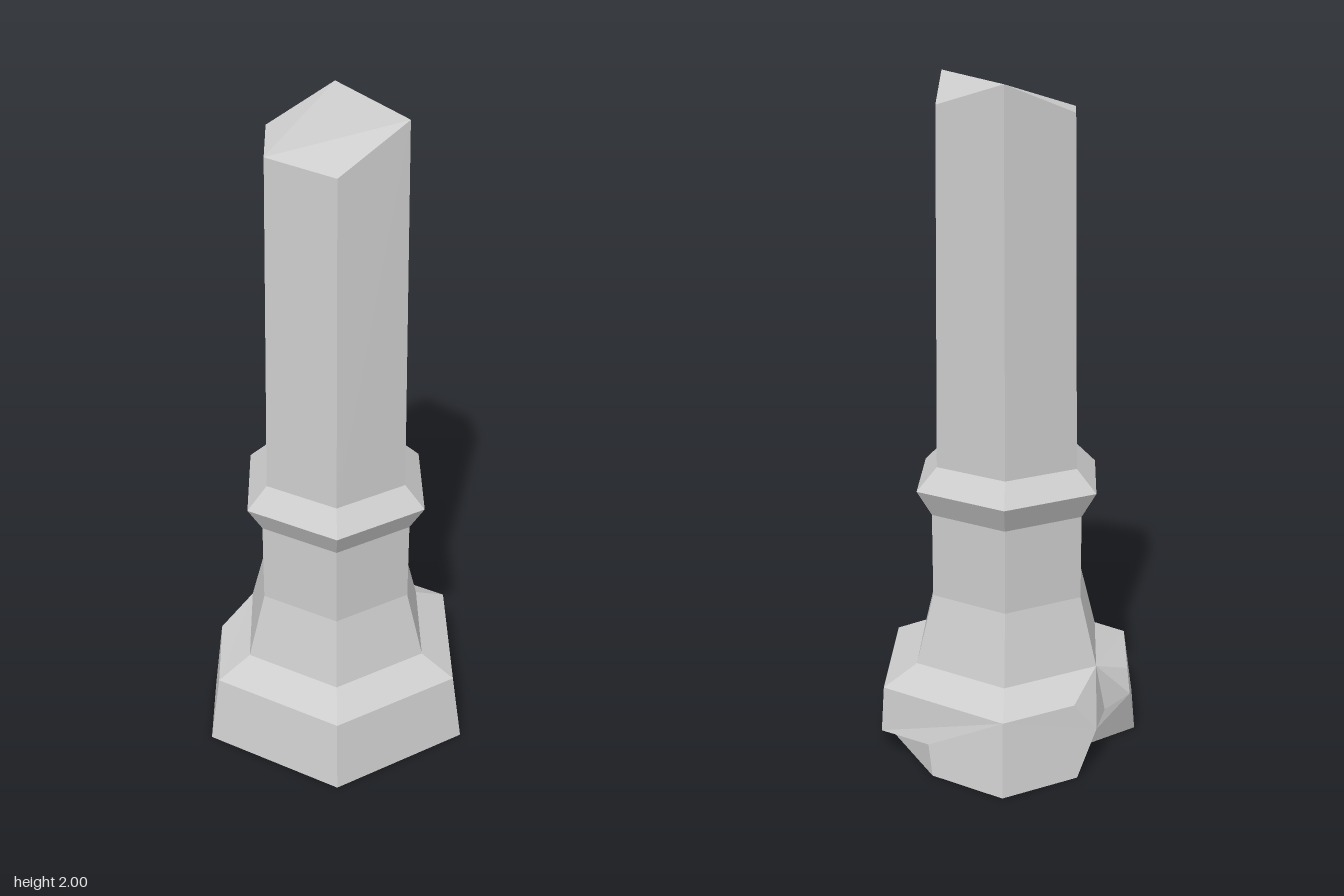
import * as THREE from 'three';

const stone = new THREE.MeshStandardMaterial({ color: 0xcccccc, flatShading: true });
stone.name = 'greyStone';

// Hexagonal ring: 0 right, 1 front right, 2 front left, 3 left, 4 back left, 5 back right
const CX = 0.01;
function hexRing(y, r) {
  return Array.from({ length: 6 }, (_, k) => {
    const a = (k * Math.PI) / 3;
    return [CX + r * Math.cos(a), y, r * Math.sin(a)];
  });
}

// Fan each polygon into triangles that face away from an inner point
function facets(name, faces, innerY) {
  const inner = new THREE.Vector3(CX, innerY, 0);
  const out = [];
  for (const face of faces) {
    const p = face.map((c) => new THREE.Vector3(...c));
    for (let i = 1; i < p.length - 1; i++) {
      const [a, b, c] = [p[0], p[i], p[i + 1]];
      const n = b.clone().sub(a).cross(c.clone().sub(a));
      const mid = a.clone().add(b).add(c).divideScalar(3).sub(inner);
      const tri = n.dot(mid) < 0 ? [a, c, b] : [a, b, c];
      tri.forEach((v) => out.push(v.x, v.y, v.z));
    }
  }
  const g = new THREE.BufferGeometry();
  g.setAttribute('position', new THREE.Float32BufferAttribute(out, 3));
  g.computeVertexNormals();
  const mesh = new THREE.Mesh(g, stone);
  mesh.name = name;
  return mesh;
}

function band(name, lo, hi) {
  const faces = lo.map((p, k) => {
    const j = (k + 1) % 6;
    return [lo[j], p, hi[k], hi[j]];
  });
  return facets(name, faces, (lo[0][1] + hi[0][1]) / 2);
}

export function createModel() {
  const model = new THREE.Group();
  model.name = 'brokenPillar';

  // Rings from the ground to the foot of the shaft
  const foot = hexRing(0, 0.455);
  const shoulder = hexRing(0.22, 0.42);
  const neck = hexRing(0.275, 0.31);
  const waistLow = hexRing(0.485, 0.253);
  const waistHigh = hexRing(0.74, 0.253);
  const collar = hexRing(0.82, 0.301);
  const shaftFoot = hexRing(0.885, 0.235);

  // Chip under the right corner
  const tip = [0.44, 0.08, 0];
  const chipFront = [0.355, 0, 0.185];
  const chipBack = [0.36, 0, -0.185];
  const chipStep = [0.36, 0.09, -0.16];

  // Larger chip at the back left corner
  const apex = neck[4];
  const topBack = [-0.015, 0.22, -0.364], topLeft = [-0.28, 0.22, -0.23];
  const midBack = [-0.085, 0.13, -0.375], midLeft = [-0.26, 0.16, -0.278];
  const hollow = [-0.18, 0.12, -0.265], hollowFoot = [-0.11, 0, -0.24];
  const lowBack = [-0.01, 0, -0.394], lowLeft = [-0.32, 0, -0.215];

  // Chipped base
  model.add(facets('base', [
    [foot[1], foot[2], shoulder[2], shoulder[1]],
    [foot[2], foot[3], shoulder[3], shoulder[2]],
    [shoulder[1], foot[1], chipFront, tip, shoulder[0]],
    [shoulder[5], shoulder[0], tip, chipStep, chipBack, foot[5]],
    [shoulder[5], foot[5], lowBack, midBack, topBack],
    [shoulder[3], foot[3], lowLeft, midLeft, topLeft],
    [foot[1], foot[2], foot[3], lowLeft, hollowFoot, lowBack, foot[5], chipBack, chipFront],
  ], 0.15));
  model.add(facets('rightChip', [[chipFront, tip, chipStep, chipBack]], 0.15));
  model.add(facets('backChip', [
    [apex, topBack, midBack, hollow],
    [apex, hollow, midLeft, topLeft],
    [midBack, lowBack, hollowFoot, hollow],
    [midLeft, hollow, hollowFoot, lowLeft],
  ], 0.12));

  // Sloping top of the base
  const slope = [0, 1, 2, 5].map((k) => {
    const j = (k + 1) % 6;
    return [shoulder[k], shoulder[j], neck[j], neck[k]];
  });
  slope.push([shoulder[3], topLeft, apex, neck[3]], [topBack, shoulder[5], neck[5], apex]);
  model.add(facets('baseSlope', slope, 0.1));

  // Plinth and collar
  model.add(band('flare', neck, waistLow));
  model.add(band('waist', waistLow, waistHigh));
  model.add(band('collarUnderside', waistHigh, collar));
  model.add(band('collarTop', collar, shaftFoot));

  // Shaft with its uneven broken end
  const t = [
    [0.24, 1.925, -0.015], [0.13, 2.0, 0.175], [-0.09, 1.885, 0.175],
    [-0.2, 1.9, -0.015], [-0.09, 1.905, -0.205], [0.13, 1.99, -0.205],
  ];
  model.add(band('shaft', shaftFoot, t));
  model.add(facets('brokenTop', [
    [t[3], t[1], t[5]], [t[3], t[2], t[1]], [t[3], t[5], t[4]], [t[1], t[0], t[5]],
  ], 1));

  return model;
}
